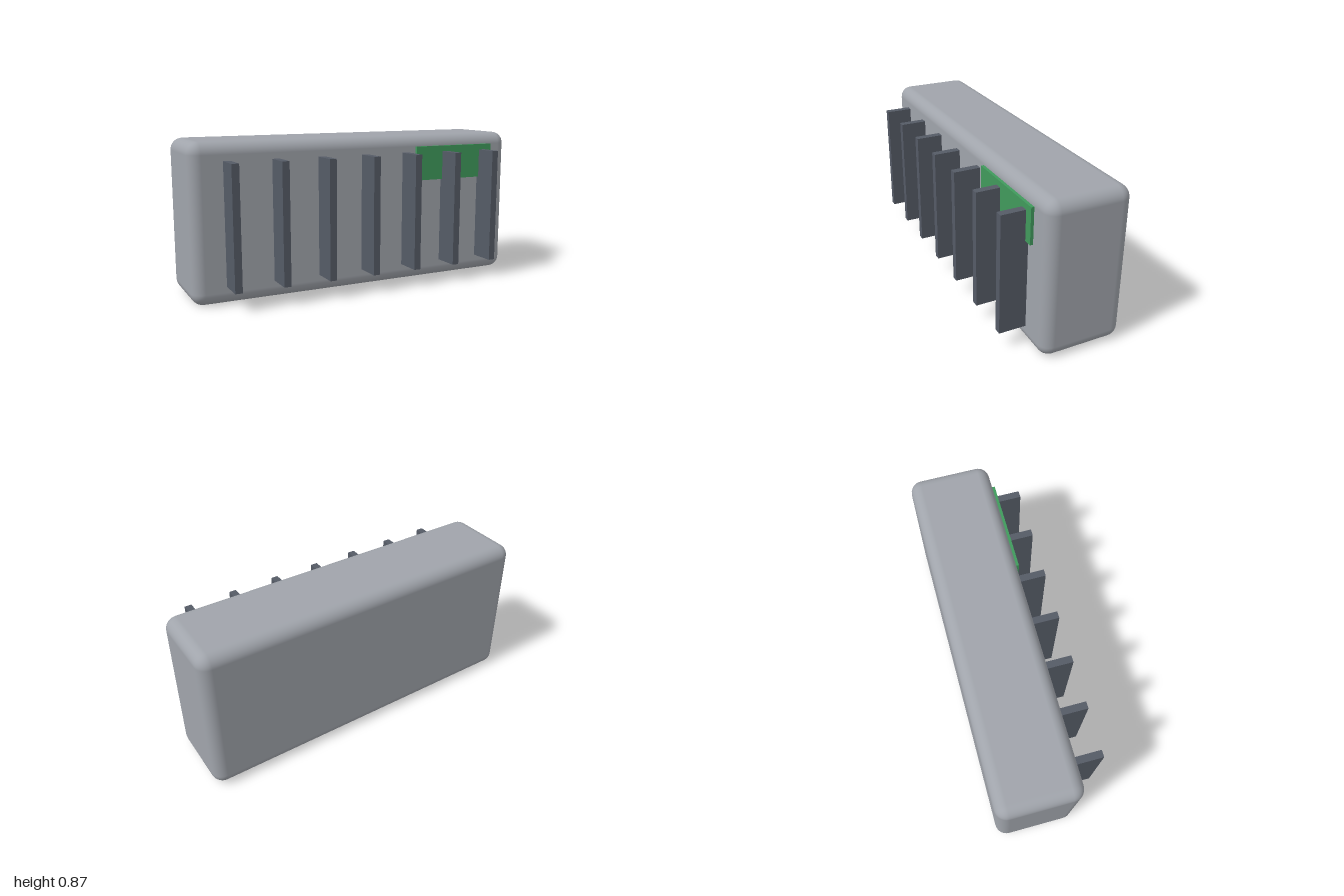
import * as THREE from 'three';
import { RoundedBoxGeometry } from 'three/addons/geometries/RoundedBoxGeometry.js';

function material(name, color) {
  const m = new THREE.MeshStandardMaterial({ color });
  m.name = name;
  return m;
}

export function createModel() {
  const group = new THREE.Group();
  group.name = 'finnedCase';
  const grey = material('light grey', 0xa0a4ab);
  const slate = material('dark slate', 0x555b66);
  const green = material('green', 0x409a5c);

  const add = (name, geometry, mat, x, y, z) => {
    const mesh = new THREE.Mesh(geometry, mat);
    mesh.name = name;
    mesh.position.set(x, y, z);
    group.add(mesh);
  };

  // Rounded case
  const front = 0.158, back = -0.308;
  add('case', new RoundedBoxGeometry(2, 0.867, front - back, 4, 0.067), grey,
    0, 0.4335, (front + back) / 2);

  // Seven upright fins, rooted slightly inside the front face
  const finBack = 0.142, finFront = 0.308;
  const finGeometry = new THREE.BoxGeometry(0.04, 0.667, finFront - finBack);
  for (let i = -3; i <= 3; i++) {
    add(`fin${i + 4}`, finGeometry, slate, i * 0.2667, 0.4335, (finBack + finFront) / 2);
  }

  // Status panel at the upper left of the front
  add('statusPanel', new THREE.BoxGeometry(0.533, 0.2, 0.033), green, 0.6, 0.7, front);

  return group;
}
